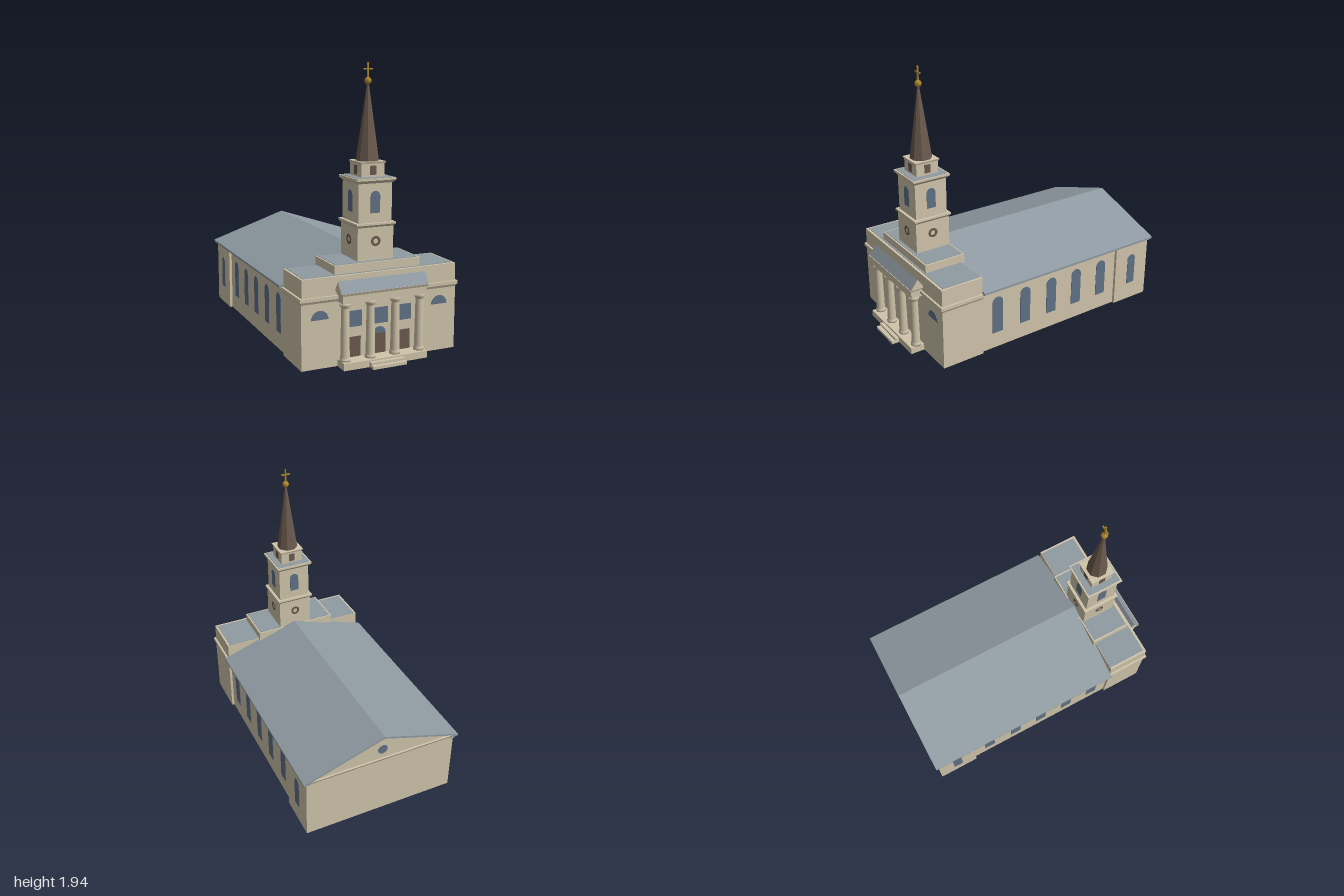
import * as THREE from 'three';

const mat = (name, color) => {
  const m = new THREE.MeshStandardMaterial({ color });
  m.name = name;
  return m;
};

export function createModel() {
  const stone = mat('stone', 0xcfc4aa);
  const slate = mat('slate', 0x8f9aa2);
  const glass = mat('glass', 0x5f7186);
  const wood = mat('darkWood', 0x6b5a4e);
  const gold = mat('gold', 0xa8842c);
  const model = new THREE.Group();
  model.name = 'church';
  const CX = -0.011; // axis of the tower and portico
  const TZ = 0.646; // tower centre in z

  const add = (name, geo, material, parent = model) => {
    const m = new THREE.Mesh(geo, material);
    m.name = name;
    parent.add(m);
    return m;
  };
  // Box from its limits; "taper" pulls the bottom corners inwards
  const box = (name, x0, x1, y0, y1, z0, z1, material = stone, taper = 0) => {
    const w = x1 - x0, h = y1 - y0, d = z1 - z0;
    const g = new THREE.BoxGeometry(w, h, d);
    if (taper) {
      const p = g.attributes.position;
      for (let i = 0; i < p.count; i++) {
        if (p.getY(i) > 0) continue;
        p.setX(i, p.getX(i) - Math.sign(p.getX(i)) * taper);
        p.setZ(i, p.getZ(i) - Math.sign(p.getZ(i)) * taper);
      }
      g.computeVertexNormals();
    }
    g.translate((x0 + x1) / 2, (y0 + y1) / 2, (z0 + z1) / 2);
    return add(name, g, material);
  };
  // Square tower stage
  const stage = (name, r, y0, y1, material = stone, taper = 0) =>
    box(name, CX - r, CX + r, y0, y1, TZ - r, TZ + r, material, taper);
  // Thin plate on a wall; angle turns it from +z about y
  const plate = (name, shape, material, x, y, z, angle = 0) => {
    const g = new THREE.ExtrudeGeometry(shape, { depth: 0.004, bevelEnabled: false, curveSegments: 12 });
    const m = add(name, g, material);
    m.position.set(x, y, z);
    m.rotation.y = angle;
  };
  const rect = (w, h) => new THREE.Shape([[-w / 2, 0], [w / 2, 0], [w / 2, h], [-w / 2, h]].map(p => new THREE.Vector2(...p)));
  const arch = (w, h) => { // round-headed opening, base at y = 0
    const s = new THREE.Shape();
    s.moveTo(-w / 2, 0);
    s.lineTo(w / 2, 0);
    s.lineTo(w / 2, h - w / 2);
    s.absarc(0, h - w / 2, w / 2, 0, Math.PI, false);
    return s;
  };
  const disc = (r, hole) => {
    const s = new THREE.Shape().absarc(0, 0, r, 0, Math.PI * 2, false);
    if (hole) s.holes.push(new THREE.Path().absarc(0, 0, hole, 0, Math.PI * 2, true));
    return s;
  };
  const prism = (pts, z0, z1) => {
    const s = new THREE.Shape(pts.map(p => new THREE.Vector2(...p)));
    return new THREE.ExtrudeGeometry(s, { depth: z1 - z0, bevelEnabled: false }).translate(0, 0, z0);
  };

  // Nave: open below, two long walls with eaves, and a closed rear bay
  for (const s of [-1, 1]) {
    const side = (name, a, b, y0, y1, z0, z1, m) =>
      box(name, Math.min(s * a, s * b), Math.max(s * a, s * b), y0, y1, z0, z1, m);
    side('naveWall', 0.525, 0.547, 0, 0.47, -0.68, 0.54);
    side('eavesMoulding', 0.54, 0.572, 0.455, 0.468, -0.99, 0.53);
    side('eaves', 0.54, 0.587, 0.468, 0.483, -0.995, 0.53, slate);
    for (const z of [0.394, 0.161, -0.07, -0.298, -0.533])
      plate('naveWindow', arch(0.086, 0.28), glass, s * 0.546, 0.12, z, s * Math.PI / 2);
    plate('rearBayWindow', arch(0.072, 0.24), glass, s * 0.566, 0.135, -0.823, s * Math.PI / 2);
  }
  box('rearBay', -0.567, 0.567, 0, 0.465, -0.98, -0.67);
  box('rearCornice', -0.587, 0.587, 0.462, 0.484, -0.995, -0.96, stone, 0.012);
  add('rearGable', prism([[-0.57, 0.475], [0.57, 0.475], [0, 0.672]], -0.98, -0.95), stone);
  plate('gableWindow', disc(0.036), glass, 0, 0.56, -0.979, Math.PI);
  add('naveRoof', prism([[-0.593, 0.474], [0, 0.67], [0.593, 0.474], [0.593, 0.488], [0, 0.686], [-0.593, 0.488]], -1, 0.53), slate);

  // Front block with cornice, parapet and attic
  box('frontBlock', -0.565, 0.565, 0, 0.44, 0.528, 0.843);
  box('frontCorniceLower', -0.575, 0.575, 0.43, 0.452, 0.518, 0.853, stone, 0.012);
  box('frontCorniceUpper', -0.577, 0.577, 0.452, 0.475, 0.515, 0.856);
  box('parapet', -0.562, 0.562, 0.475, 0.597, 0.528, 0.842);
  box('parapetRoof', -0.546, 0.546, 0.595, 0.6, 0.532, 0.824, slate);
  box('attic', CX - 0.312, CX + 0.312, 0.585, 0.656, 0.507, 0.812);
  box('atticRoof', CX - 0.3, CX + 0.3, 0.654, 0.659, 0.517, 0.8, slate);
  for (const s of [-1, 1]) plate('lunette', arch(0.12, 0.06), glass, s * 0.438, 0.325, 0.842);

  // Entrance wall: doors and windows
  for (const i of [-1, 0, 1]) {
    const x = CX + i * 0.182;
    plate('door', rect(0.088, 0.138), wood, x, 0.045, 0.842);
    plate('upperWindow', rect(i ? 0.103 : 0.12, 0.108), glass, x, 0.25, 0.842);
  }
  plate('fanlight', arch(0.088, 0.044), glass, CX, 0.183, 0.843);

  // Portico: steps, columns, entablature and ridge roof
  box('platform', CX - 0.303, CX + 0.303, 0, 0.047, 0.84, 0.945);
  box('upperStep', CX - 0.122, CX + 0.122, 0, 0.036, 0.94, 0.972);
  box('lowerStep', CX - 0.122, CX + 0.122, 0, 0.02, 0.94, 1);
  const profile = [[0, 0], [0.036, 0], [0.036, 0.015], [0.031, 0.022], [0.031, 0.03], [0.026, 0.35],
    [0.028, 0.358], [0.038, 0.372], [0.038, 0.388], [0, 0.388]].map(p => new THREE.Vector2(...p));
  for (let i = 0; i < 4; i++)
    add('column', new THREE.LatheGeometry(profile, 20), stone).position.set(CX + (i - 1.5) * 0.1805, 0.045, 0.889);
  box('architrave', CX - 0.303, CX + 0.303, 0.432, 0.486, 0.84, 0.925);
  box('porticoCornice', CX - 0.315, CX + 0.315, 0.484, 0.502, 0.84, 0.937, stone, 0.008);
  const tri = (name, z0, z1, h, half, m) => {
    const g = prism([[z0, 0.5], [z1, 0.5], [(z0 + z1) / 2, 0.5 + h]], -half, half);
    const mesh = add(name, g, m);
    mesh.rotation.y = -Math.PI / 2;
    mesh.position.x = CX;
  };
  tri('porticoGable', 0.829, 0.931, 0.07, 0.317, stone);
  tri('porticoRoof', 0.826, 0.934, 0.074, 0.315, slate);

  // Tower stages and cornices
  stage('lowerTower', 0.13, 0.65, 0.89);
  stage('lowerTowerMoulding', 0.142, 0.878, 0.893, stone, 0.012);
  stage('lowerTowerCornice', 0.142, 0.893, 0.906);
  stage('belfry', 0.121, 0.9, 1.175);
  stage('belfryMoulding', 0.141, 1.165, 1.184, stone, 0.016);
  stage('belfryCornice', 0.141, 1.184, 1.198);
  stage('belfryRoof', 0.129, 1.196, 1.201, slate);
  stage('lantern', 0.084, 1.195, 1.29);
  stage('lanternCornice', 0.093, 1.288, 1.301, stone, 0.005);
  for (let i = 0; i < 4; i++) {
    const a = i * Math.PI / 2;
    const at = (name, shape, m, r, y) =>
      plate(name, shape, m, CX + Math.sin(a) * r, y, TZ + Math.cos(a) * r, a);
    at('roundelRing', disc(0.034, 0.018), wood, 0.129, 0.785);
    at('belfryWindow', arch(0.068, 0.145), glass, 0.12, 0.97);
    at('lanternOpening', rect(0.046, 0.06), wood, 0.083, 1.215);
  }

  // Octagonal spire with ball and cross
  const spire = new THREE.CylinderGeometry(0.006, 0.077, 0.505, 8).rotateY(Math.PI / 8).toNonIndexed();
  spire.computeVertexNormals();
  add('spire', spire, wood).position.set(CX, 1.5525, TZ);
  add('ball', new THREE.SphereGeometry(0.024, 20, 14), gold).position.set(CX, 1.818, TZ);
  box('crossPost', CX - 0.005, CX + 0.005, 1.83, 1.937, TZ - 0.005, TZ + 0.005, gold);
  box('crossArm', CX - 0.033, CX + 0.033, 1.889, 1.899, TZ - 0.005, TZ + 0.005, gold);

  return model;
}
